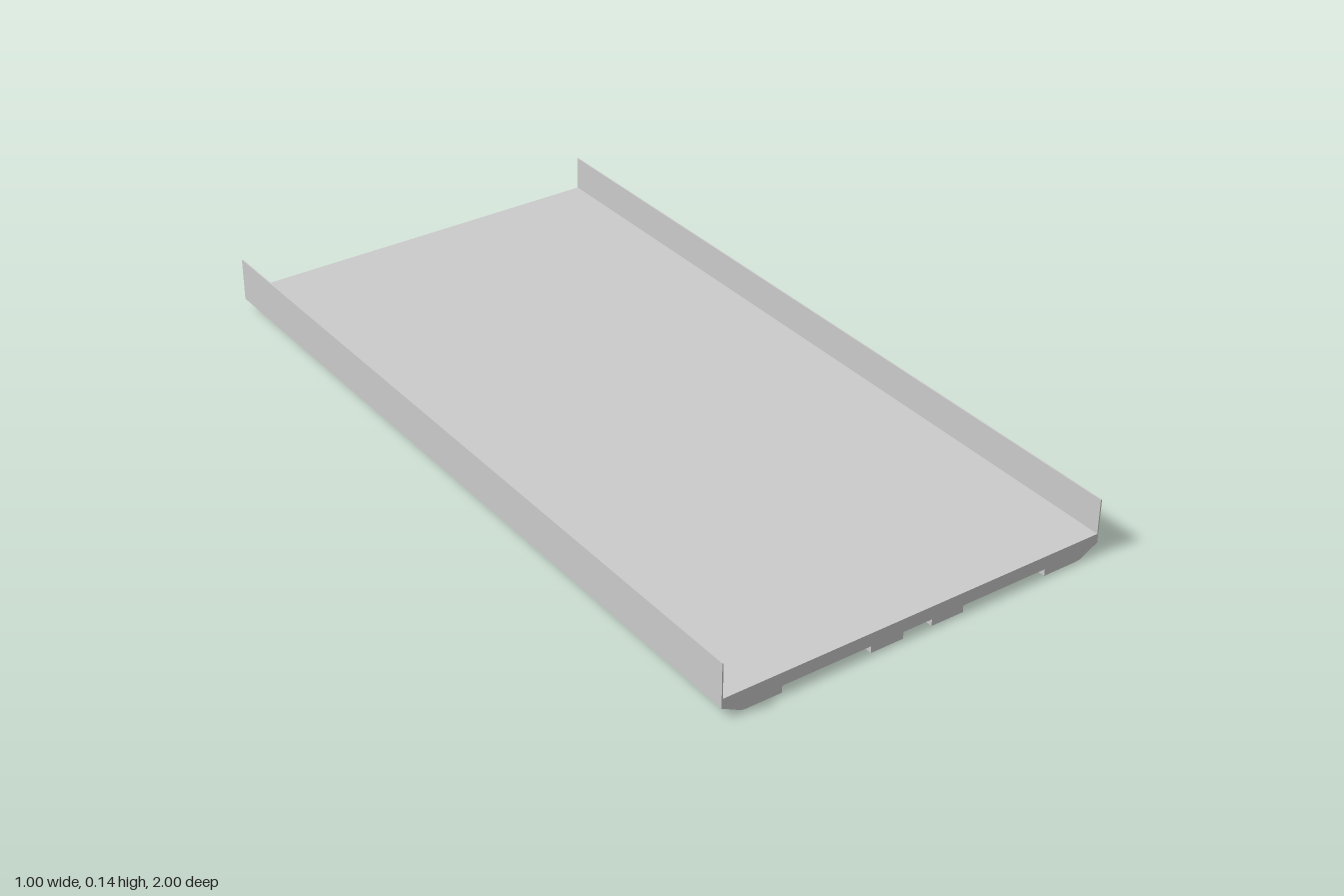
import * as THREE from 'three';

export function createModel() {
  const group = new THREE.Group();
  const material = new THREE.MeshStandardMaterial({ color: 0xcccccc });
  const length = 2, deckTop = 0.05, wallTop = 0.137, wallThickness = 0.003;

  // Right half of the deck section, from the top edge to the middle of the underside
  const half = [
    [0.5, deckTop], [0.5, 0.027], [0.452, 0.002], [0.44, 0], [0.35, 0], [0.35, 0.017],
    [0.123, 0.017], [0.123, 0], [0.038, 0], [0.038, 0.017],
  ];
  const mirrored = half.map(([x, y]) => [-x, y]).reverse();
  const section = new THREE.Shape([...half, ...mirrored].map(([x, y]) => new THREE.Vector2(x, y)));

  // Deck with chamfered edges and four runners underneath
  const deckGeometry = new THREE.ExtrudeGeometry(section, { depth: length, bevelEnabled: false });
  deckGeometry.translate(0, 0, -length / 2);
  const deck = new THREE.Mesh(deckGeometry, material);
  deck.name = 'deck';
  group.add(deck);

  // Thin upright walls along both long sides
  const wallHeight = wallTop - deckTop;
  for (const [side, name] of [[1, 'leftWall'], [-1, 'rightWall']]) {
    const wall = new THREE.Mesh(new THREE.BoxGeometry(wallThickness, wallHeight, length), material);
    wall.position.set(side * (0.5 - wallThickness / 2), deckTop + wallHeight / 2, 0);
    wall.name = name;
    group.add(wall);
  }
  return group;
}
